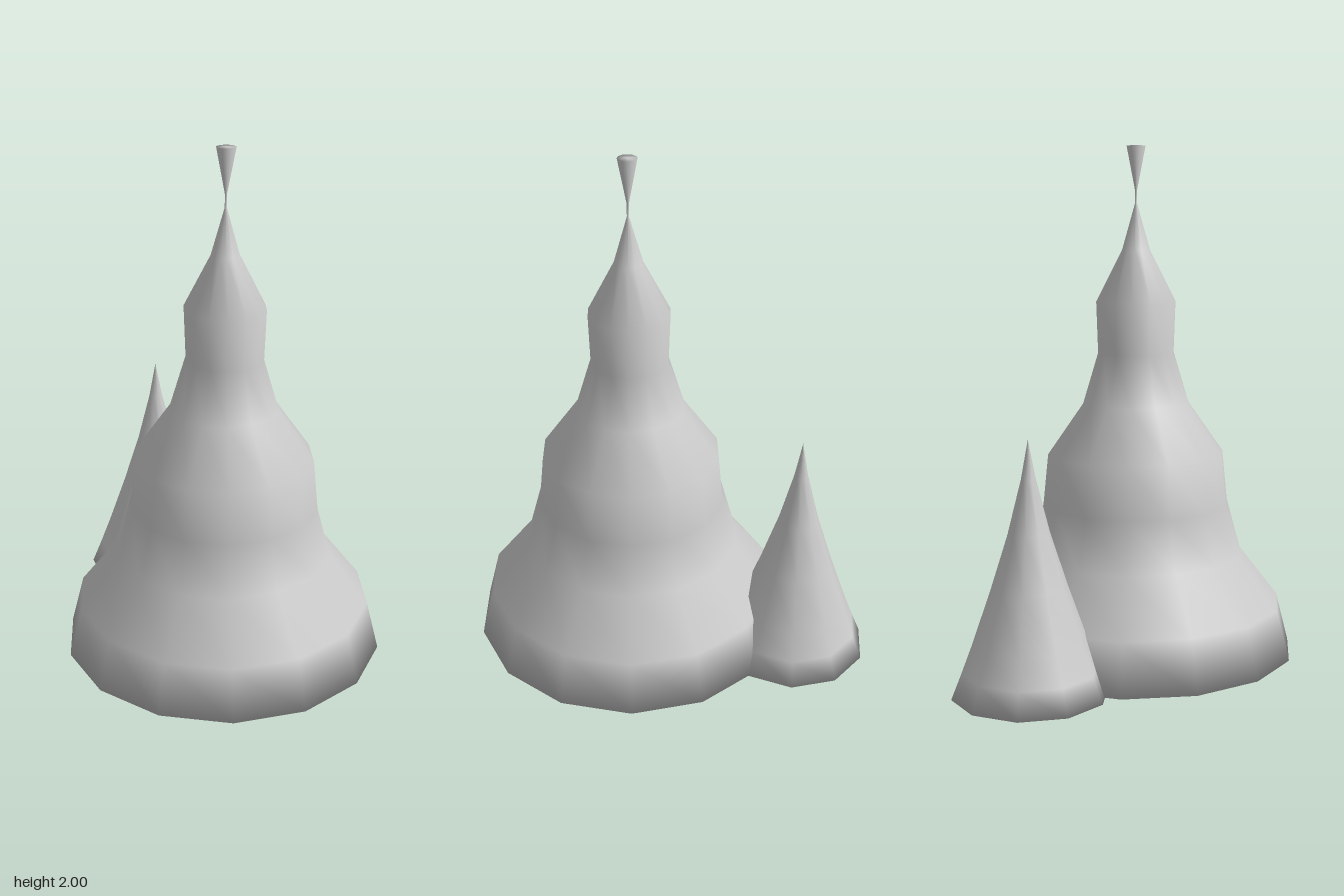
import * as THREE from 'three';

// Closed, smooth-shaded turned body with one corner on the +x axis
function turned(name, profile, sides, material) {
  const points = profile.map(([r, y]) => new THREE.Vector2(r, y));
  const mesh = new THREE.Mesh(new THREE.LatheGeometry(points, sides, Math.PI / 2), material);
  mesh.name = name;
  return mesh;
}

export function createModel() {
  const model = new THREE.Group();
  model.name = 'tower';
  const stone = new THREE.MeshStandardMaterial({ color: 0xcccccc });
  stone.name = 'light grey';

  // Main tower: stacked bells, narrowing to a pinched neck and flared finial
  const tower = turned('mainTower', [
    [0, 0.003], [0.63, 0.003], [0.58, 0.2], [0.425, 0.4], [0.37, 0.6],
    [0.35, 0.8], [0.21, 1.0], [0.15, 1.2], [0.157, 1.4], [0.055, 1.6],
    [0.004, 1.78], [0.004, 1.83], [0.037, 2.0], [0, 2.0],
  ], 14, stone);
  tower.position.set(0.125, 0, 0);
  model.add(tower);

  // Small spire beside and behind the tower
  const spire = turned('sideSpire', [
    [0, 0], [0.29, 0], [0.252, 0.095], [0.212, 0.2], [0.142, 0.4],
    [0.078, 0.6], [0.027, 0.8], [0, 0.945],
  ], 10, stone);
  spire.position.set(-0.465, 0, -0.337);
  model.add(spire);

  return model;
}
